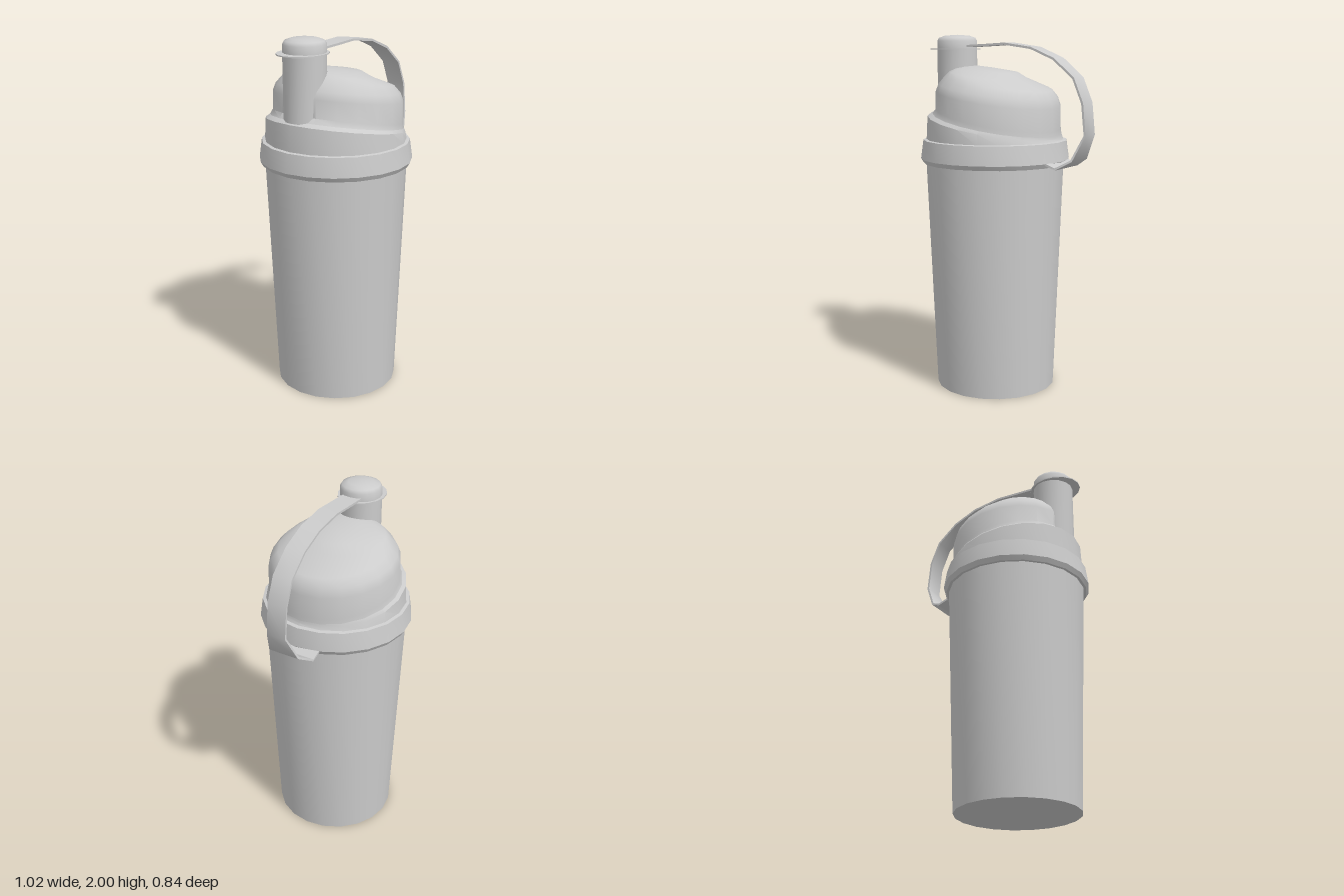
import * as THREE from 'three';
import { toCreasedNormals } from 'three/addons/utils/BufferGeometryUtils.js';

const CUP_X = -0.09;
const SPOUT_X = -0.345;
const material = new THREE.MeshStandardMaterial({ color: 0xcccccc, side: THREE.DoubleSide });

function addPart(group, name, geometry, x = 0, y = 0, crease = 0.6) {
  const mesh = new THREE.Mesh(toCreasedNormals(geometry, crease), material);
  mesh.name = name;
  mesh.position.set(x, y, 0);
  group.add(mesh);
  return mesh;
}

function lathe(points, segments) {
  return new THREE.LatheGeometry(points.map(([r, y]) => new THREE.Vector2(r, y)), segments);
}

// Skin a row of closed cross-sections, each an array of [x, y, z]
function loft(rings) {
  const n = rings[0].length;
  const index = [];
  for (let i = 0; i < rings.length - 1; i++) {
    for (let j = 0; j < n; j++) {
      const k = (j + 1) % n;
      const a = i * n + j, b = a + n, c = (i + 1) * n + k, d = i * n + k;
      index.push(a, b, c, a, c, d);
    }
  }
  const geometry = new THREE.BufferGeometry();
  geometry.setAttribute('position', new THREE.Float32BufferAttribute(rings.flat(2), 3));
  geometry.setIndex(index);
  return geometry;
}

// Tilted oval running from its left end (x0, y0) to its right end (x1, y1)
function tiltedRing([x0, y0, x1, y1, rz], segments = 20) {
  return Array.from({ length: segments }, (_, j) => {
    const a = (j / segments) * Math.PI * 2;
    const t = (Math.cos(a) + 1) / 2;
    return [x0 + (x1 - x0) * t, y0 + (y1 - y0) * t, rz * Math.sin(a)];
  });
}

// Thin band swept along [x, y, halfWidth] stations
function strap(stations, thickness) {
  const h = thickness / 2;
  return loft(stations.map(([x, y, w], i) => {
    const p = stations[Math.max(i - 1, 0)];
    const q = stations[Math.min(i + 1, stations.length - 1)];
    const len = Math.hypot(q[0] - p[0], q[1] - p[1]);
    const nx = (-(q[1] - p[1]) / len) * h, ny = ((q[0] - p[0]) / len) * h;
    return [[x + nx, y + ny, w], [x + nx, y + ny, -w], [x - nx, y - ny, -w], [x - nx, y - ny, w]];
  }));
}

export function createModel() {
  const group = new THREE.Group();
  group.name = 'shakerBottle';

  // Tapered cup with closed base
  addPart(group, 'cup', lathe([[0, 0], [0.34, 0], [0.39, 1.3]], 20), CUP_X);

  // Screw collar
  addPart(group, 'collar', lathe([
    [0.385, 1.29], [0.405, 1.29], [0.42, 1.315], [0.405, 1.42], [0.38, 1.425],
  ], 20), CUP_X);

  // Lid skirt with a sloping rim
  addPart(group, 'lidSkirt', loft([
    [-0.477, 1.42, 0.297, 1.42, 0.388],
    [-0.47, 1.565, 0.287, 1.435, 0.38],
    [-0.44, 1.58, 0.285, 1.45, 0.365],
  ].map((r) => tiltedRing(r))), 0, 0, 0.5);

  // Lopsided dome, stepping up to a small crown
  addPart(group, 'lidDome', loft([
    [-0.44, 1.58, 0.285, 1.45, 0.365],
    [-0.417, 1.605, 0.282, 1.475, 0.358],
    [-0.415, 1.70, 0.28, 1.60, 0.358],
    [-0.40, 1.74, 0.265, 1.65, 0.34],
    [-0.365, 1.785, 0.235, 1.69, 0.3],
    [-0.34, 1.803, 0.08, 1.75, 0.25],
    [-0.32, 1.815, 0.03, 1.79, 0.18],
    [-0.28, 1.826, -0.1, 1.814, 0.08],
    [-0.2, 1.828, -0.199, 1.828, 0.001],
  ].map((r) => tiltedRing(r))), 0, 0, 0.7);

  // Drinking spout and its cap
  addPart(group, 'spout', new THREE.CylinderGeometry(0.115, 0.115, 0.42, 16, 1, true), SPOUT_X, 1.71);
  addPart(group, 'spoutCap', lathe([
    [0.115, 1.915], [0.115, 1.965], [0.105, 1.983], [0.07, 1.995], [0, 2],
  ], 16), SPOUT_X, 0, 0.8);
  const flange = addPart(group, 'capFlange', new THREE.CylinderGeometry(1, 1, 0.006, 16), -0.36, 1.92);
  flange.scale.set(0.15, 1, 0.13);

  // Strap from cap to collar, flaring where it joins the collar
  addPart(group, 'strap', strap([
    [-0.28, 1.935, 0.055], [-0.12, 1.943, 0.055], [0, 1.95, 0.055], [0.17, 1.927, 0.055],
    [0.31, 1.87, 0.055], [0.43, 1.77, 0.055], [0.485, 1.64, 0.055], [0.502, 1.47, 0.055],
    [0.44, 1.335, 0.088], [0.365, 1.292, 0.13], [0.3, 1.315, 0.13],
  ], 0.012), 0, 0, 0.7);

  return group;
}
